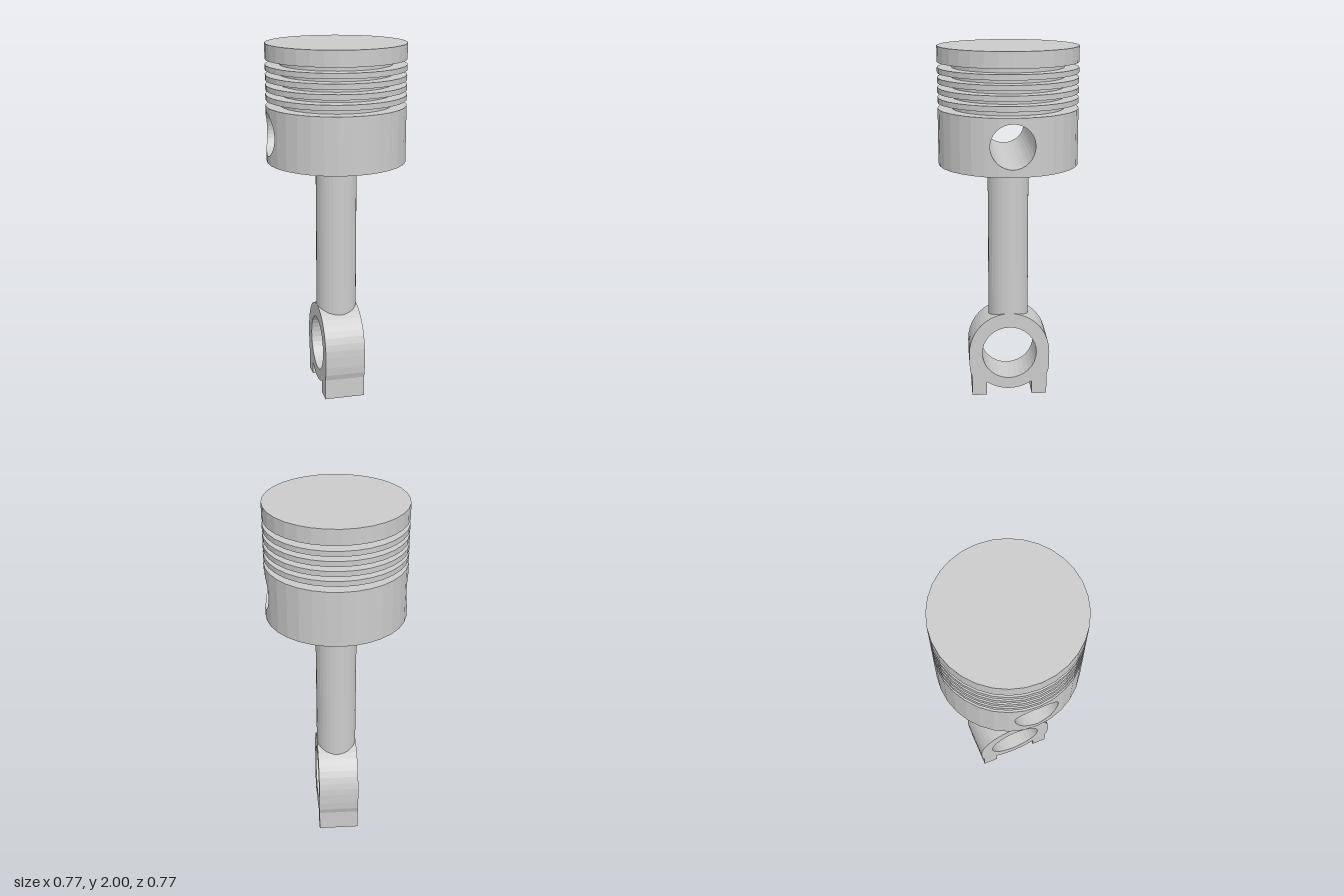
import * as THREE from 'three';

const material = new THREE.MeshStandardMaterial({ color: 0xcccccc, flatShading: true });
const SIDES = 32, STEP = (2 * Math.PI) / SIDES;
const R = 0.385, CORE = 0.307;            // piston and groove radii
const SKIRT_LOW = 1.355, SKIRT_TOP = 1.665;
const PIN_Y = 1.515, PIN_R = 0.119;       // wrist pin bore
const ROD_R = 0.114;

function part(name, geometry) {
  const mesh = new THREE.Mesh(geometry, material);
  mesh.name = name;
  return mesh;
}

const lathe = (points) =>
  new THREE.LatheGeometry(points.map(([r, y]) => new THREE.Vector2(r, y)), SIDES);

// Half width in x of the 32-sided piston at depth z
function halfWidth(z) {
  const mid = (Math.floor(Math.asin(z / R) / STEP) + 0.5) * STEP;
  return (R * Math.cos(STEP / 2) - z * Math.sin(mid)) / Math.cos(mid);
}

// Faceted skirt wall pierced along x by the pin bore, built in strips of z
function skirtGeometry() {
  const zs = [];
  for (let k = -8; k <= 8; k++) zs.push(R * Math.sin(k * STEP), PIN_R * Math.sin(k * STEP));
  zs.sort((a, b) => a - b);
  const pos = [];
  const quad = (a, b, c, d) => pos.push(...a, ...b, ...c, ...a, ...c, ...d);
  const gap = (z) => Math.sqrt(Math.max(0, PIN_R * PIN_R - z * z));

  for (let i = 0; i < zs.length - 1; i++) {
    const z0 = zs[i], z1 = zs[i + 1];
    if (z1 - z0 < 1e-6) continue;
    const x0 = halfWidth(z0), x1 = halfWidth(z1);
    const g0 = gap(z0), g1 = gap(z1);
    // Wall above and below the bore, on both sides
    for (const [lo0, lo1, hi0, hi1] of [
      [SKIRT_LOW, SKIRT_LOW, PIN_Y - g0, PIN_Y - g1],
      [PIN_Y + g0, PIN_Y + g1, SKIRT_TOP, SKIRT_TOP],
    ]) {
      quad([x1, lo1, z1], [x0, lo0, z0], [x0, hi0, z0], [x1, hi1, z1]);
      quad([-x0, lo0, z0], [-x1, lo1, z1], [-x1, hi1, z1], [-x0, hi0, z0]);
    }
    // Roof and floor of the bore
    if (g0 + g1 > 1e-6) {
      const u0 = PIN_Y + g0, u1 = PIN_Y + g1, d0 = PIN_Y - g0, d1 = PIN_Y - g1;
      quad([-x0, u0, z0], [x0, u0, z0], [x1, u1, z1], [-x1, u1, z1]);
      quad([-x1, d1, z1], [x1, d1, z1], [x0, d0, z0], [-x0, d0, z0]);
    }
  }
  const geometry = new THREE.BufferGeometry();
  geometry.setAttribute('position', new THREE.Float32BufferAttribute(pos, 3));
  geometry.computeVertexNormals();
  return geometry;
}

// Crown, four thin rings and the grooves between them
function headGeometry() {
  const profile = [[R, SKIRT_TOP], [CORE, SKIRT_TOP]];
  for (let i = 0; i < 4; i++) {
    const y = 1.696 + i * 0.0535;
    profile.push([CORE, y], [R, y], [R, y + 0.029], [CORE, y + 0.029]);
  }
  profile.push([CORE, 1.914], [R, 1.914], [R, 2], [0, 2]);
  return lathe(profile);
}

// Big end: rounded top, two square feet and a rounded belly, bored through
function bigEndGeometry() {
  const cy = 0.26, belly = 0.222, footIn = 0.13, points = [];
  const add = (z, y) => points.push(new THREE.Vector2(z, y));
  for (let i = 0; i <= 20; i++) {
    const a = (Math.PI * i) / 20;
    add(0.231 * Math.cos(a), cy + 0.24 * Math.sin(a));
  }
  const side = [[0.231, 0.2], [0.227, 0.151], [0.216, 0.117], [0.216, 0], [footIn, 0]];
  side.forEach(([z, y]) => add(-z, y));
  const sweep = Math.asin(footIn / belly);
  for (let i = 0; i <= 10; i++) {
    const a = sweep * (i / 5 - 1);
    add(belly * Math.sin(a), cy - belly * Math.cos(a));
  }
  side.reverse().forEach(([z, y]) => add(z, y));

  const shape = new THREE.Shape(points);
  shape.holes.push(new THREE.Path().absarc(0, cy, 0.156, 0, Math.PI * 2, true));
  const geometry = new THREE.ExtrudeGeometry(shape, {
    depth: 2 * ROD_R, bevelEnabled: false, curveSegments: SIDES / 2,
  });
  return geometry.translate(0, 0, -ROD_R).rotateY(Math.PI / 2);
}

export function createModel() {
  const model = new THREE.Group();
  model.name = 'pistonAndRod';

  const piston = new THREE.Group();
  piston.name = 'piston';
  piston.add(
    part('ringedHead', headGeometry()),
    part('skirt', skirtGeometry()),
    part('skirtBase', lathe([[0, SKIRT_LOW], [R, SKIRT_LOW]])),
  );

  // Shank runs from inside the big end up to the skirt base
  const low = 0.44, length = SKIRT_LOW - low;
  const shank = part('rodShank', new THREE.CylinderGeometry(ROD_R, ROD_R, length, SIDES, 1, true));
  shank.position.y = low + length / 2;

  model.add(piston, shank, part('rodBigEnd', bigEndGeometry()));
  return model;
}
